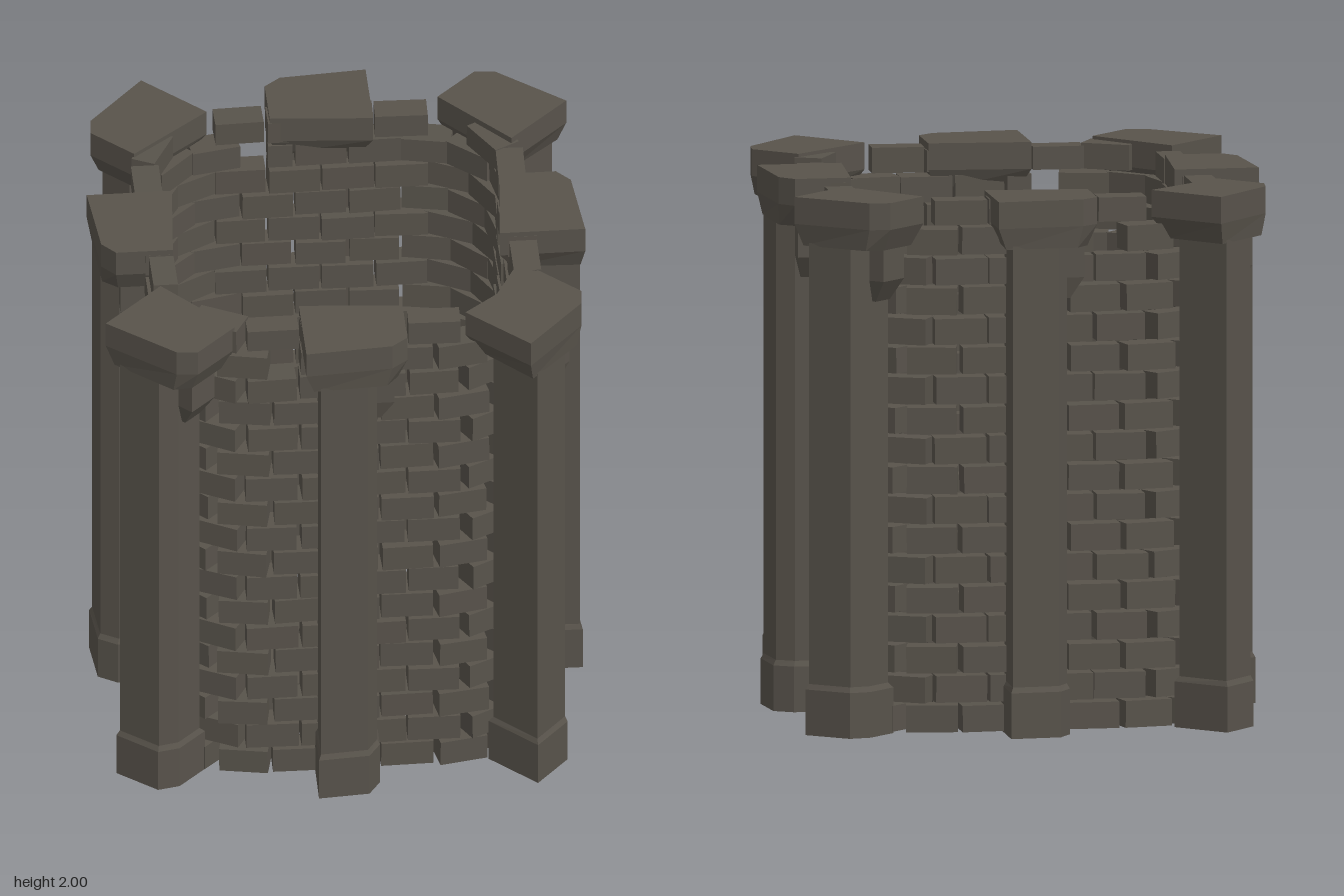
import * as THREE from 'three';
import { mergeGeometries } from 'three/addons/utils/BufferGeometryUtils.js';

// Small seeded random in [-1, 1]
function makeRandom(seed) {
  return () => {
    seed = (seed * 16807) % 2147483647;
    return (seed / 2147483647) * 2 - 1;
  };
}

// Flat-sided loft through convex [x, z] outlines (counterclockwise from above)
function loft(levels) {
  const pos = [];
  const tri = (...pts) => pts.forEach((p) => pos.push(...p));
  const rings = levels.map(({ y, pts }) => pts.map(([x, z]) => [x, y, z]));
  const n = rings[0].length;
  for (let k = 0; k < rings.length - 1; k++) {
    for (let i = 0; i < n; i++) {
      const j = (i + 1) % n;
      const [lo, hi] = [rings[k], rings[k + 1]];
      tri(lo[i], lo[j], hi[j]);
      tri(lo[i], hi[j], hi[i]);
    }
  }
  const top = rings[rings.length - 1];
  for (let i = 1; i < n - 1; i++) {
    tri(top[0], top[i], top[i + 1]);
    tri(rings[0][0], rings[0][i + 1], rings[0][i]);
  }
  const g = new THREE.BufferGeometry();
  g.setAttribute('position', new THREE.Float32BufferAttribute(pos, 3));
  g.computeVertexNormals();
  return g;
}

// Point and heading on the rounded-square wall line, s = 0 at the front centre
const HALF = 0.33, RADIUS = 0.34;
const QUARTER = 2 * HALF + (Math.PI / 2) * RADIUS;
function wallPoint(s) {
  const t = (((s + HALF) % (4 * QUARTER)) + 4 * QUARTER) % (4 * QUARTER);
  const q = Math.floor(t / QUARTER);
  const d = t - q * QUARTER;
  let x = d - HALF, z = HALF + RADIUS, a = 0;
  if (d > 2 * HALF) {
    a = (d - 2 * HALF) / RADIUS;
    x = HALF + RADIUS * Math.sin(a);
    z = HALF + RADIUS * Math.cos(a);
  }
  const p = new THREE.Vector3(x, 0, z).applyAxisAngle(new THREE.Vector3(0, 1, 0), (q * Math.PI) / 2);
  return { p, angle: a + (q * Math.PI) / 2 };
}

export function createModel() {
  const group = new THREE.Group();
  const stone = new THREE.MeshStandardMaterial({ color: 0x58534b });
  stone.name = 'dark stone';
  const add = (parent, name, geometry) => {
    const m = new THREE.Mesh(geometry, stone);
    m.name = name;
    parent.add(m);
    return m;
  };
  const rnd = makeRandom(4271);

  // Brick wall in 18 courses with open joints
  const ROWS = 18, PER_ROW = 24, PITCH = 2 / ROWS, STEP = (4 * QUARTER) / PER_ROW;
  const gapBricks = [23, 7, 13, 17]; // short bricks leaving a hole under the battlements
  const missingTop = [2, 9, 14, 20];
  for (let row = 0; row < ROWS; row++) {
    const bricks = [];
    for (let i = 0; i < PER_ROW; i++) {
      if (row === ROWS - 1 && missingTop.includes(i)) continue;
      let s = (i + (row % 2 ? 0.5 : 0)) * STEP;
      let length = STEP - 0.012 + rnd() * 0.008;
      if (row === 16 && gapBricks.includes(i)) {
        s += (i === 23 || i === 17 ? 1 : -1) * 0.05;
        length = 0.09;
      }
      const { p, angle } = wallPoint(s);
      const height = row === ROWS - 1 ? 0.085 + rnd() * 0.012 : 0.098 + rnd() * 0.003;
      const g = new THREE.BoxGeometry(length, height, 0.1 + rnd() * 0.012);
      g.rotateZ(rnd() * 0.012);
      g.rotateY(angle + rnd() * 0.035);
      const push = 1 + rnd() * 0.01;
      g.translate(p.x * push, row * PITCH + 0.003 + height / 2, p.z * push);
      bricks.push(g);
    }
    const mesh = add(group, 'brickCourse', mergeGeometries(bricks));
    if (row === 0) mesh.position.y = 0.002;
  }

  // Buttress outlines as [sideways, outward]
  const shaft = [[-0.13, 0.675], [-0.135, 0.89], [0.04, 0.875], [0.08, 0.81], [0.08, 0.69]];
  const base = [[-0.14, 0.66], [-0.143, 0.9], [0.045, 0.885], [0.09, 0.815], [0.09, 0.67]];
  const capLow = [[-0.15, 0.64], [-0.16, 0.89], [0.11, 0.875], [0.155, 0.82], [0.155, 0.65]];
  const capTop = [[-0.19, 0.59], [-0.19, 0.905], [0.13, 0.88], [0.19, 0.83], [0.19, 0.62]];
  const corbelLow = [[0.05, 0.7], [0.05, 0.79], [0.095, 0.79], [0.095, 0.7]];
  const corbelTop = [[0.05, 0.68], [0.05, 0.81], [0.145, 0.81], [0.145, 0.68]];
  const parts = {
    buttressBase: loft([{ y: 0, pts: base }, { y: 0.17, pts: base }, { y: 0.19, pts: shaft }]),
    buttressShaft: loft([{ y: 0.15, pts: shaft }, { y: 1.85, pts: shaft }]),
    buttressCap: loft([{ y: 1.82, pts: capLow }, { y: 1.9, pts: capTop }, { y: 2, pts: capTop }]),
    corbel: loft([{ y: 1.62, pts: corbelLow }, { y: 1.7, pts: corbelTop }, { y: 1.82, pts: corbelTop }]),
  };

  // Eight buttresses, the diagonal ones set further out
  for (let k = 0; k < 8; k++) {
    const turn = new THREE.Group();
    turn.name = k % 2 ? 'cornerButtress' : 'sideButtress';
    turn.rotation.y = (k * Math.PI) / 4;
    const body = new THREE.Group();
    body.name = 'buttressBody';
    body.position.z = k % 2 ? 0.19 : 0;
    for (const [name, g] of Object.entries(parts)) add(body, name, g);
    turn.add(body);
    group.add(turn);
  }

  // Low paved platform inside the wall
  const block = (x0, x1, y0, y1, z0, z1) =>
    new THREE.BoxGeometry(x1 - x0, y1 - y0, z1 - z0).translate((x0 + x1) / 2, (y0 + y1) / 2, (z0 + z1) / 2);
  add(group, 'platform', block(-0.36, 0.36, 0.01, 0.1, -0.35, 0.35));
  const paving = [];
  const lines = [-0.34, -0.2, -0.09, 0.08, 0.21, 0.35];
  for (let r = 0; r < 5; r++) {
    for (let i = 0; i < 5; i++) {
      const x = -0.35 + i * 0.14 + (r % 2 ? 0.03 : 0);
      paving.push(block(x, x + 0.135, 0.08, 0.13 + rnd() * 0.006, lines[r] + 0.003, lines[r + 1] - 0.003));
    }
  }
  add(group, 'paving', mergeGeometries(paving));

  // Kerb stones along the platform edges
  const kerb = [];
  for (let i = 0; i < 6; i++) {
    const z = -0.365 + i * 0.122;
    kerb.push(block(-0.425, -0.355, 0.005, 0.11 + rnd() * 0.01, z, z + 0.115));
    kerb.push(block(0.355, 0.42, 0.005, 0.11 + rnd() * 0.01, z, z + 0.115));
    const x = -0.34 + i * 0.115;
    kerb.push(block(x, x + 0.11, 0.005, 0.11 + rnd() * 0.01, -0.37, -0.34));
  }
  kerb.push(new THREE.BoxGeometry(0.08, 0.08, 0.09).rotateY(0.5).translate(0.37, 0.06, 0.35));
  add(group, 'kerbStones', mergeGeometries(kerb));

  // Raised row of stones across the platform and a centre stone
  const ridge = [];
  for (let i = 0; i < 8; i++) {
    const x = -0.52 + i * 0.13;
    ridge.push(block(x, x + 0.125, 0.02, 0.18 + rnd() * 0.008, -0.09 + rnd() * 0.006, 0.075));
  }
  add(group, 'ridgeStones', mergeGeometries(ridge));
  const centre = [[-0.13, -0.09], [-0.13, 0.08], [0, 0.1], [0.11, 0.08], [0.13, -0.06]];
  add(group, 'centreStone', loft([{ y: 0.16, pts: centre }, { y: 0.25, pts: centre }]));

  // Beams tying the platform to the wall
  add(group, 'leftBeam', block(0.5, 0.64, 0.01, 0.1, -0.05, 0.05));
  add(group, 'rightBeam', block(-0.64, -0.5, 0.01, 0.1, -0.05, 0.05));
  add(group, 'frontBeam', block(-0.045, 0.045, 0.01, 0.16, 0.08, 0.65));
  return group;
}
